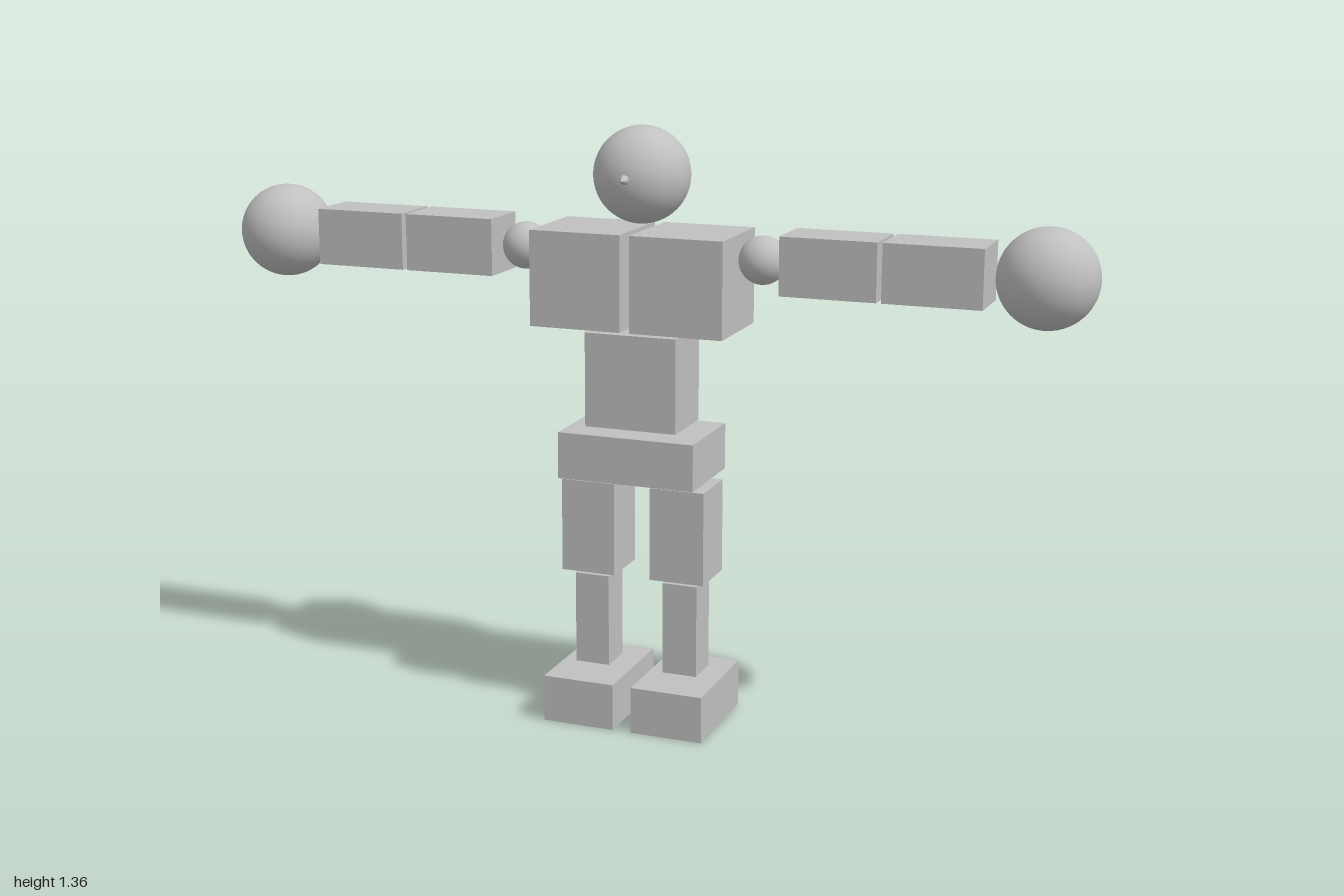
import * as THREE from 'three';

const grey = new THREE.MeshStandardMaterial({ color: 0xc0c0c0 });

export function createModel() {
  const model = new THREE.Group();
  model.name = 'blockFigure';

  const add = (name, geometry, x, y, z = 0) => {
    const mesh = new THREE.Mesh(geometry, grey);
    mesh.name = name;
    mesh.position.set(x, y, z);
    model.add(mesh);
    return mesh;
  };
  // Box given by its x and y ranges and full depth, centred on z = 0
  const block = (name, x0, x1, y0, y1, depth) =>
    add(name, new THREE.BoxGeometry(Math.abs(x1 - x0), y1 - y0, depth), (x0 + x1) / 2, (y0 + y1) / 2);
  const ball = (name, r, x, y) => add(name, new THREE.SphereGeometry(r, 48, 32), x, y);

  // Head with a small pointed nose
  ball('head', 0.107, 0, 1.25);
  const nose = add('nose', new THREE.ConeGeometry(0.012, 0.024, 24), 0, 1.25, 0.116);
  nose.rotation.x = Math.PI / 2;

  // Trunk
  block('abdomen', -0.107, 0.107, 0.692, 0.905, 0.15);
  block('pelvis', -0.16, 0.16, 0.575, 0.681, 0.214);

  // Mirrored chest halves, arms and legs
  for (const [side, s] of [['left', 1], ['right', -1]]) {
    block(side + 'Chest', s * 0.011, s * 0.224, 0.917, 1.131, 0.214);
    ball(side + 'Shoulder', 0.053, s * 0.279, 1.078);
    block(side + 'UpperArm', s * 0.335, s * 0.548, 1.014, 1.142, 0.128);
    block(side + 'Forearm', s * 0.559, s * 0.773, 1.014, 1.142, 0.128);
    ball(side + 'Hand', 0.107, s * 0.893, 1.078);
    block(side + 'Thigh', s * 0.043, s * 0.17, 0.347, 0.561, 0.128);
    block(side + 'Shin', s * 0.066, s * 0.147, 0.121, 0.335, 0.084);
    block(side + 'Foot', s * 0.022, s * 0.191, 0, 0.108, 0.256);
  }
  return model;
}
